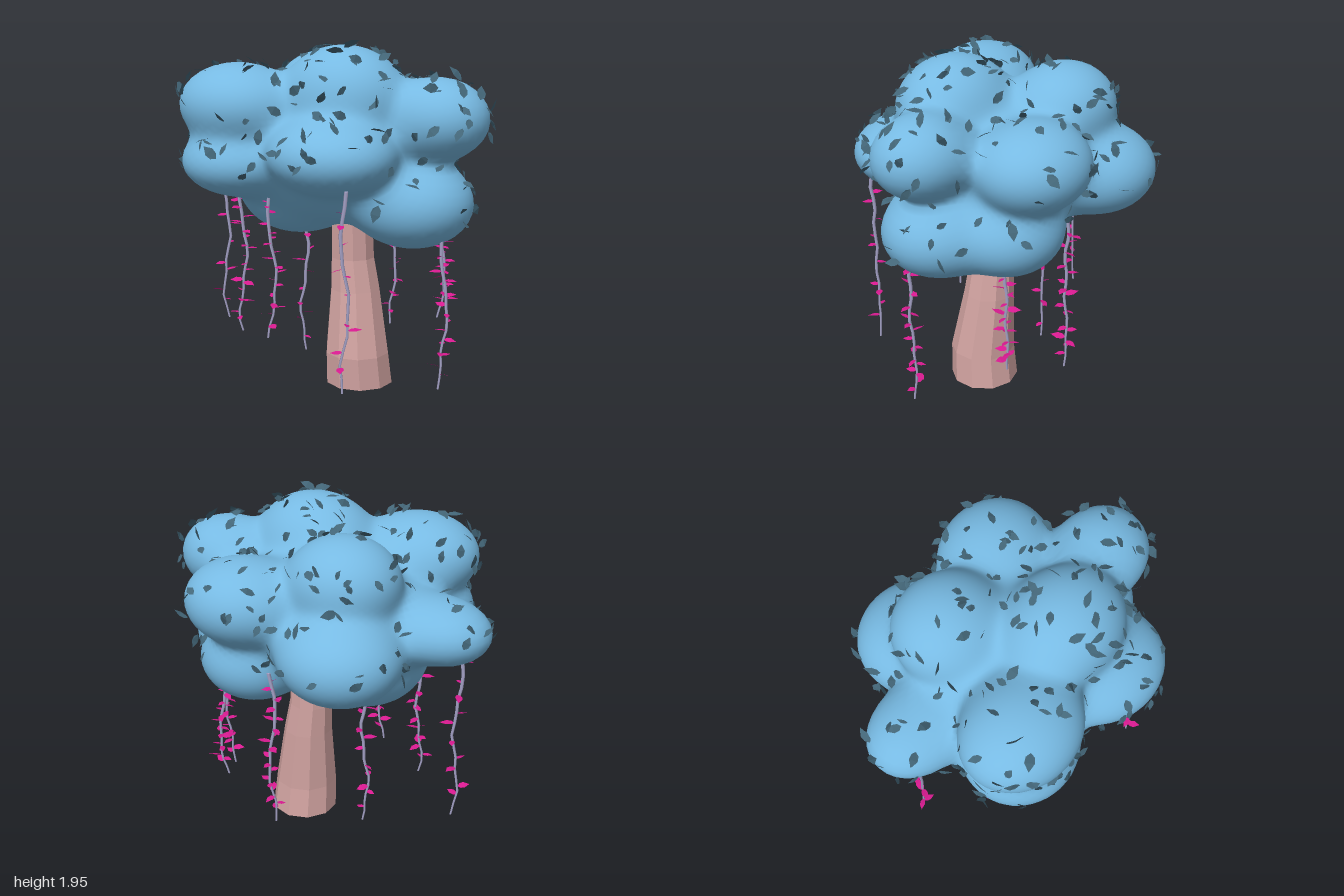
import * as THREE from 'three';
import { mergeGeometries, mergeVertices } from 'three/addons/utils/BufferGeometryUtils.js';

const V = (x, y, z) => new THREE.Vector3(x, y, z);

// Small seeded random generator
function seeded(seed) {
  return () => {
    seed = (seed * 1664525 + 1013904223) % 4294967296;
    return seed / 4294967296;
  };
}

// Foliage lobes: centre and radii of each ellipsoid
const LOBES = [
  [0, 1.3, 0, 0.59, 0.38, 0.49],           // core
  [0.2, 1.65, 0.18, 0.34, 0.265, 0.29],    // crown
  [-0.22, 1.62, -0.24, 0.3, 0.235, 0.28],  // rear crown
  [-0.33, 1.59, 0.42, 0.34, 0.225, 0.29],  // front right, upper
  [-0.33, 1.28, 0.42, 0.32, 0.19, 0.3],    // front right, lower
  [0.29, 1.36, 0.42, 0.34, 0.2, 0.3],      // front left
  [-0.66, 1.35, -0.01, 0.29, 0.175, 0.24], // right tip
  [0.67, 1.54, -0.01, 0.275, 0.215, 0.25], // left tip
  [0.52, 1.08, 0, 0.34, 0.245, 0.31],      // left underside
  [0.29, 1.47, -0.43, 0.32, 0.23, 0.29],   // back left
  [-0.3, 1.27, -0.43, 0.33, 0.24, 0.31],   // back right
  [-0.23, 1.08, 0.01, 0.32, 0.25, 0.34],   // right underside
  [0.32, 1.08, -0.3, 0.3, 0.23, 0.28],     // back underside
];

// Smoothly blended distance to all lobes
function field(p) {
  const k = 0.045;
  let sum = 0;
  for (const [x, y, z, a, b, c] of LOBES) {
    const dx = (p.x - x) / a, dy = (p.y - y) / b, dz = (p.z - z) / c;
    const k0 = Math.hypot(dx, dy, dz);
    const k1 = Math.hypot(dx / a, dy / b, dz / c) || 1e-6;
    sum += Math.exp(-Math.max(k0 * (k0 - 1) / k1, -0.5) / k);
  }
  return -k * Math.log(sum + 1e-300);
}

// Outermost point of the foliage along a direction
const CENTRE = V(0, 1.36, 0);
function surfacePoint(dir) {
  const at = t => CENTRE.clone().addScaledVector(dir, t);
  let t = 1.2;
  while (t > 0.05 && field(at(t)) > 0) t -= 0.015;
  let lo = t, hi = t + 0.015;
  for (let i = 0; i < 8; i++) {
    const mid = (lo + hi) / 2;
    if (field(at(mid)) > 0) hi = mid; else lo = mid;
  }
  return at(lo);
}

function surfaceNormal(p) {
  const e = 0.005;
  const d = (x, y, z) => field(V(p.x + x, p.y + y, p.z + z)) - field(V(p.x - x, p.y - y, p.z - z));
  return V(d(e, 0, 0), d(0, e, 0), d(0, 0, e)).normalize();
}

function makeCanopy() {
  let geo = new THREE.IcosahedronGeometry(1, 22);
  geo.deleteAttribute('normal');
  geo.deleteAttribute('uv');
  geo = mergeVertices(geo, 1e-4);
  const pos = geo.attributes.position;
  for (let i = 0; i < pos.count; i++) {
    const p = surfacePoint(new THREE.Vector3().fromBufferAttribute(pos, i).normalize());
    pos.setXYZ(i, p.x, p.y, p.z);
  }
  geo.computeVertexNormals();
  return geo;
}

// Pointed leaf along +z, folded along its midrib
function makeLeaf(length, width, fold) {
  const s = new THREE.Shape([
    [0, 0], [0.42, 0.22], [0.5, 0.55], [0, 1], [-0.5, 0.55], [-0.42, 0.22],
  ].map(([x, y]) => new THREE.Vector2(x * width, y * length)));
  const geo = new THREE.ShapeGeometry(s).rotateX(Math.PI / 2).toNonIndexed();
  const pos = geo.attributes.position;
  for (let i = 0; i < pos.count; i++) pos.setY(i, Math.abs(pos.getX(i)) * fold);
  geo.computeVertexNormals();
  return geo;
}

// Copy of a leaf at a point, growing along dir, its face turned towards up
function placeLeaf(leaf, point, dir, up, scale) {
  const z = dir.clone().normalize();
  const x = new THREE.Vector3().crossVectors(up, z).normalize();
  const y = new THREE.Vector3().crossVectors(z, x);
  const m = new THREE.Matrix4().makeBasis(x, y, z).scale(V(scale, scale, scale)).setPosition(point);
  return leaf.clone().applyMatrix4(m);
}

function makeCanopyLeaves() {
  const rand = seeded(11), leaf = makeLeaf(0.085, 0.046, 0.2), parts = [];
  const count = 700;
  for (let i = 0; i < count; i++) {
    const y = 1 - 1.4 * (i + rand()) / count;
    const a = i * 2.39996 + rand() * 0.5, r = Math.sqrt(1 - y * y);
    const dir = V(r * Math.cos(a), y, r * Math.sin(a));
    const p = surfacePoint(dir), n = surfaceNormal(p);
    // Keep leaves in proportion to the area, so the spread is even
    const area = p.distanceToSquared(CENTRE) / Math.max(n.dot(dir), 0.3);
    if (n.y < -0.4 || rand() > area * 0.75) continue;
    const t = V(rand() - 0.5, rand() - 0.5, rand() - 0.5).cross(n).normalize();
    const tilt = rand() * 0.6;
    const grow = t.multiplyScalar(Math.cos(tilt)).addScaledVector(n, Math.sin(tilt));
    const face = n.clone().add(V(rand() - 0.5, rand() - 0.5, rand() - 0.5).multiplyScalar(2));
    parts.push(placeLeaf(leaf, p.addScaledVector(n, 0.003), grow, face, 0.7 + rand() * 0.45));
  }
  return mergeGeometries(parts);
}

function makeTrunk() {
  // Rings: height, centre x, centre z, radius
  const rings = [[0, 0.185, 0, 0.193], [0.18, 0.18, 0.015, 0.183], [0.54, 0.148, -0.01, 0.143],
    [0.72, 0.128, -0.012, 0.125], [1.03, 0.13, 0, 0.115]];
  const geo = new THREE.CylinderGeometry(1, 1, 1, 10, rings.length - 1);
  const pos = geo.attributes.position;
  for (let i = 0; i < pos.count; i++) {
    const [y, x, z, r] = rings[Math.round((pos.getY(i) + 0.5) * (rings.length - 1))];
    pos.setXYZ(i, x + pos.getX(i) * r, y, z + pos.getZ(i) * r);
  }
  return geo;
}

// Hanging vines: x, z, top, bottom, number of leaves
const VINES = [
  [-0.77, 0.05, 1.24, 0.2, 10], [-0.43, 0.29, 1.14, 0.25, 20], [-0.27, -0.08, 0.9, 0.06, 10],
  [-0.1, 0.43, 1.22, 0.31, 20], [0.48, 0.56, 1.22, 0.16, 10], [0.48, -0.4, 1.0, 0.32, 22],
  [0.08, -0.5, 1.12, 0.18, 20], [0.75, 0.03, 1.0, 0.08, 20],
];

function makeVine([x, z, top, bottom, leaves], index, vineMat, leafMat) {
  const rand = seeded(index * 97 + 5), phase = rand() * 6;
  const bend = y => V(
    x + 0.015 * Math.sin(y * 9 + phase) + 0.006 * Math.sin(y * 27 + phase), y,
    z + 0.015 * Math.cos(y * 8 + phase * 2) + 0.006 * Math.sin(y * 23));
  const stem = new THREE.CylinderGeometry(0.011, 0.006, top - bottom, 5, 14);
  stem.translate(0, (top + bottom) / 2, 0);
  const pos = stem.attributes.position;
  for (let i = 0; i < pos.count; i++) {
    const c = bend(pos.getY(i));
    pos.setXYZ(i, c.x + pos.getX(i), c.y, c.z + pos.getZ(i));
  }
  // Nearly level leaves spread around the stem
  const leaf = makeLeaf(0.07, 0.036, 0.15), parts = [];
  for (let i = 0; i < leaves; i++) {
    const y = bottom + 0.07 + (top - bottom - 0.1) * (i + rand() * 0.8) / leaves;
    const a = i * 2.4 + rand();
    const dir = V(Math.cos(a), rand() * 0.3 - 0.15, Math.sin(a));
    const face = V(rand() - 0.5, 1, rand() - 0.5);
    parts.push(placeLeaf(leaf, bend(y), dir, face, 0.75 + rand() * 0.5));
  }
  const vine = new THREE.Group();
  vine.name = 'vine' + (index + 1);
  vine.add(named('vineStem', stem, vineMat), named('vineLeaves', mergeGeometries(parts), leafMat));
  return vine;
}

function named(name, geometry, material) {
  const mesh = new THREE.Mesh(geometry, material);
  mesh.name = name;
  return mesh;
}

export function createModel() {
  const mat = (color, extra = {}) => new THREE.MeshStandardMaterial({ color, ...extra });
  const bark = mat(0xd0a2a0, { flatShading: true });
  const foliage = mat(0x77bae3);
  const leafMat = mat(0x436678, { side: THREE.DoubleSide, flatShading: true });
  const vineMat = mat(0xa9a6cc);
  const pink = mat(0xd81a90, { side: THREE.DoubleSide, flatShading: true });

  const tree = new THREE.Group();
  tree.name = 'tree';
  tree.add(
    named('trunk', makeTrunk(), bark),
    named('canopy', makeCanopy(), foliage),
    named('canopyLeaves', makeCanopyLeaves(), leafMat));
  VINES.forEach((v, i) => tree.add(makeVine(v, i, vineMat, pink)));
  return tree;
}
